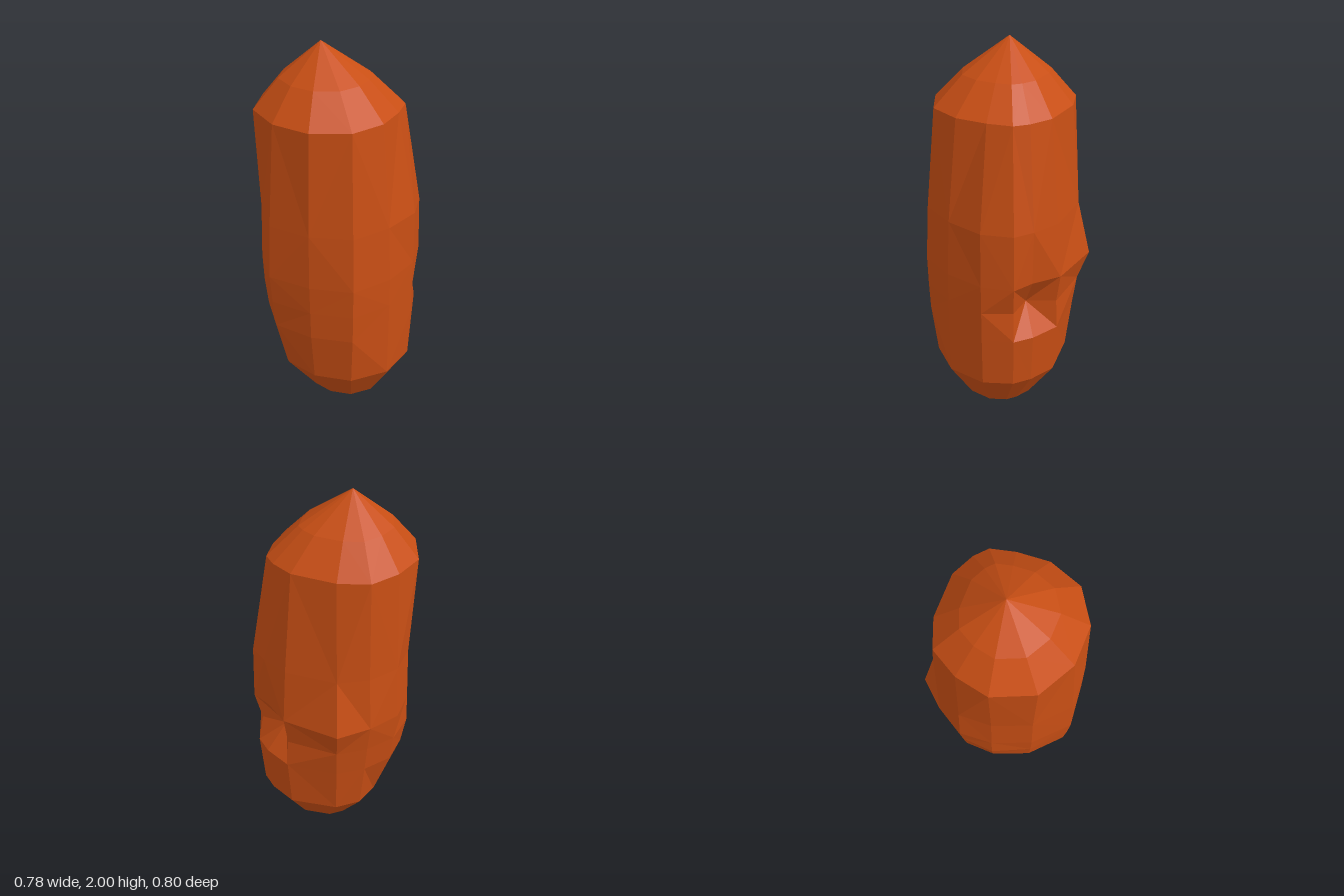
import * as THREE from 'three';

// Column directions around the stone, in degrees from +x towards +z
const ANGLES = [0, 30, 60, 90, 120, 150, 180, 205, 230, 255, 298, 322, 337];

// Body cross-sections: height, then one radius per column
const BODY = [
  { y: 0.35, r: [.39, .39, .38, .355, .345, .29, .26, .27, .30, .31, .34, .36, .38] },
  { y: 0.62, r: [.395, .39, .41, .39, .41, .375, .36, .36, .34, .34, .36, .38, .40] },
  { y: 0.77, r: [.395, .39, .415, .395, .425, .39, .385, .38, .36, .36, .35, .27, .375] },
  { y: 0.92, r: [.395, .387, .417, .40, .435, .395, .38, .395, .385, .415, .374, .36, .41] },
  { y: 1.20, r: [.39, .37, .40, .395, .42, .385, .37, .38, .365, .35, .35, .37, .40] },
  { y: 1.70, r: [.29, .31, .35, .37, .38, .40, .39, .36, .35, .305, .29, .30, .31] },
];
const BOTTOM = new THREE.Vector3(0.08, 0, 0.03);
const TOP = new THREE.Vector3(-0.08, 2, 0.02);

function bodyRing({ y, r }) {
  return r.map((radius, k) => {
    const a = THREE.MathUtils.degToRad(ANGLES[k]);
    return new THREE.Vector3(radius * Math.cos(a), y, radius * Math.sin(a));
  });
}

// Shoulder ring between a tip and the nearest body ring
function shoulder(tip, ring, t, y) {
  return ring.map((p) => tip.clone().lerp(p, t).setY(y));
}

function stoneGeometry() {
  const body = BODY.map(bodyRing);
  const rings = [
    shoulder(BOTTOM, body[0], 0.58, 0.14),
    ...body,
    shoulder(TOP, body[body.length - 1], 0.62, 1.84),
  ];
  const n = ANGLES.length;
  const points = [];
  for (let k = 0; k < n; k++) {
    const next = (k + 1) % n;
    // Pointed ends
    const low = rings[0], high = rings[rings.length - 1];
    points.push(BOTTOM, low[k], low[next]);
    points.push(high[next], high[k], TOP);
    // Facets between neighbouring rings, with alternating diagonals
    for (let i = 0; i < rings.length - 1; i++) {
      const a = rings[i][k], b = rings[i][next];
      const c = rings[i + 1][next], d = rings[i + 1][k];
      if ((i + k) % 2) points.push(b, a, d, b, d, c);
      else points.push(b, a, c, a, d, c);
    }
  }
  const geometry = new THREE.BufferGeometry().setFromPoints(points);
  geometry.computeVertexNormals();
  return geometry;
}

export function createModel() {
  const group = new THREE.Group();
  group.name = 'rock';
  const material = new THREE.MeshStandardMaterial({ color: 0xc84e14, flatShading: true });
  const stone = new THREE.Mesh(stoneGeometry(), material);
  stone.name = 'stone';
  group.add(stone);
  return group;
}
